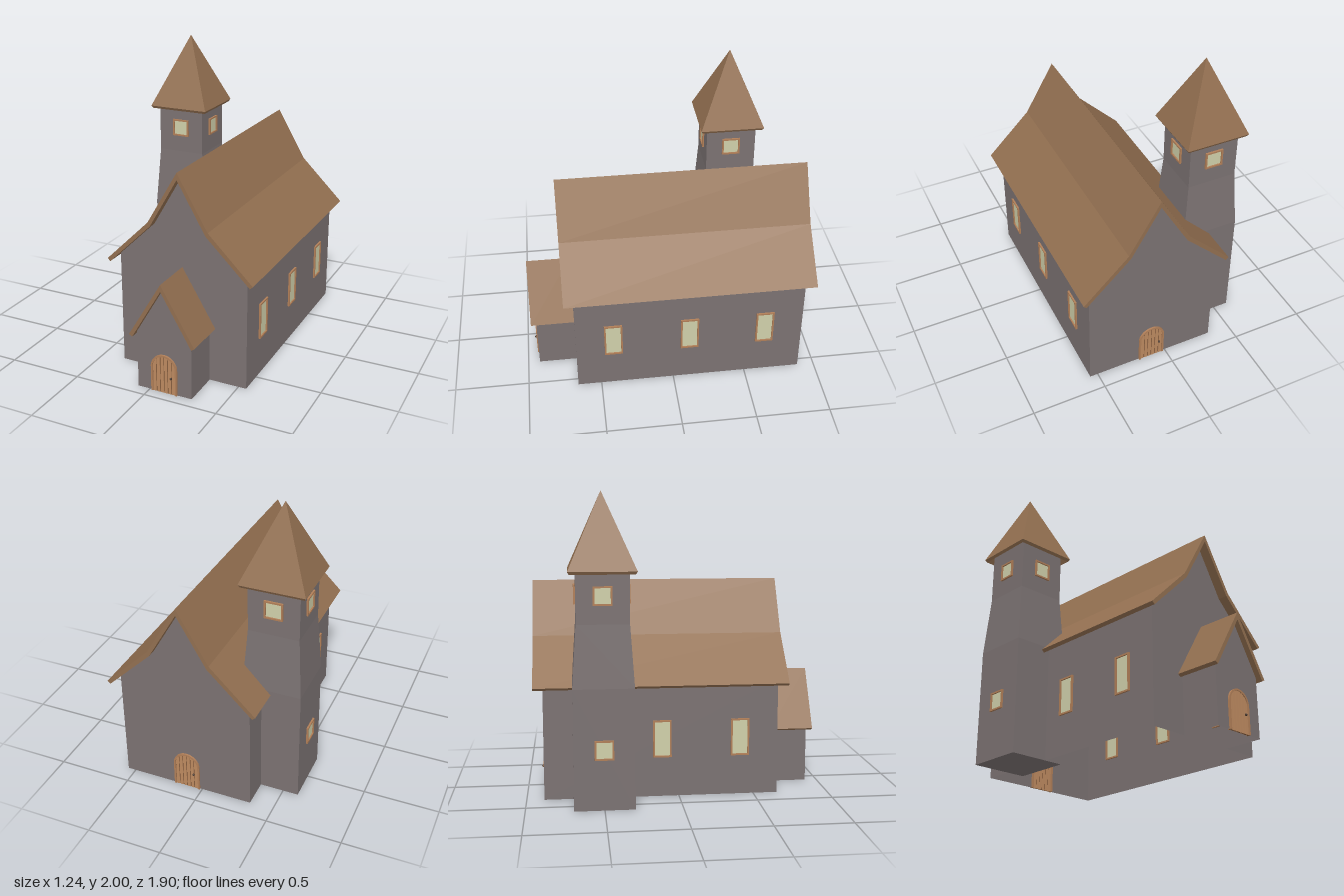
import * as THREE from 'three';

const mat = (name, color, side = THREE.FrontSide) => {
  const m = new THREE.MeshStandardMaterial({ color, side });
  m.name = name;
  return m;
};

export function createModel() {
  const wall = mat('grey plaster', 0x7b7272, THREE.DoubleSide);
  const roof = mat('brown shingle', 0x926f50);
  const trim = mat('trim wood', 0xb17f58);
  const plank = mat('door wood', 0xbd8a60);
  const gap = mat('dark gap', 0x6a462d);
  const glass = mat('pale glass', 0xd0d0aa);
  const iron = mat('dark iron', 0x4a3a30);

  const model = new THREE.Group();
  model.name = 'church';
  const CX = 0.106; // centre line of nave and porch

  const add = (parent, name, geo, material, x = 0, y = 0, z = 0) => {
    const m = new THREE.Mesh(geo, material);
    m.name = name;
    m.position.set(x, y, z);
    parent.add(m);
    return m;
  };
  const shapeOf = pts => new THREE.Shape(pts.map(p => new THREE.Vector2(p[0], p[1])));
  const mirror = pts => pts.map(([x, y]) => [-x, y]).reverse();
  const extrude = (shape, depth) =>
    new THREE.ExtrudeGeometry(shape, { depth, bevelEnabled: false, curveSegments: 20 });

  // Roof slab: right-hand outer and inner lines, ridge to eave, mirrored and extruded along z
  const roofSlab = (name, outer, inner, z0, z1) => {
    const pts = [
      ...outer.slice().reverse(), ...mirror(outer).reverse().slice(1),
      ...mirror(inner), ...inner.slice(1),
    ];
    add(model, name, extrude(shapeOf(pts), z1 - z0), roof, CX, 0, z0);
  };
  roofSlab('naveRoof',
    [[0, 1.405], [0.208, 1.05], [0.51, 0.752]],
    [[0, 1.358], [0.193, 1.025], [0.49, 0.735]], -0.948, 0.724);
  roofSlab('porchRoof',
    [[0, 0.762], [0.229, 0.378]],
    [[0, 0.715], [0.207, 0.364]], 0.66, 0.955);

  // Thin walls, open below
  const naveHalf = [[0.448, 0], [0.448, 0.777], [0.193, 1.025]];
  const porchHalf = [[0.19, 0], [0.19, 0.393]];
  const naveOutline = [...naveHalf, [0, 1.358], ...mirror(naveHalf)];
  const porchOutline = [...porchHalf, [0, 0.715], ...mirror(porchHalf)];
  const sideWalls = (name, half, height, z0, z1) => {
    for (const s of [-1, 1]) {
      const g = new THREE.PlaneGeometry(z1 - z0, height);
      g.rotateY(s * Math.PI / 2);
      add(model, name, g, wall, CX + s * half, height / 2, (z0 + z1) / 2);
    }
  };
  const backGable = new THREE.ShapeGeometry(shapeOf(naveOutline));
  backGable.rotateY(Math.PI);
  add(model, 'naveBackWall', backGable, wall, CX, 0, -0.885);
  // the front wall opens into the porch
  add(model, 'naveFrontWall',
    new THREE.ShapeGeometry(shapeOf([...naveOutline, ...porchOutline.slice().reverse()])),
    wall, CX, 0, 0.66);
  sideWalls('naveSideWall', 0.448, 0.777, -0.885, 0.66);
  add(model, 'porchFrontWall', new THREE.ShapeGeometry(shapeOf(porchOutline)), wall, CX, 0, 0.92);
  sideWalls('porchSideWall', 0.19, 0.393, 0.66, 0.92);

  // Square tower and its pyramid roof: four-sided lathes with flat faces
  const TX = -0.408, TZ = -0.5;
  const square = pts => {
    const g = new THREE.LatheGeometry(
      pts.map(([r, y]) => new THREE.Vector2(r * Math.SQRT2, y)), 4, Math.PI / 4).toNonIndexed();
    g.computeVertexNormals();
    return g;
  };
  add(model, 'tower',
    square([[0, 0], [0.195, 0], [0.195, 0.78], [0.168, 1.18], [0.168, 1.57]]), wall, TX, 0, TZ);
  add(model, 'towerRoof',
    square([[0, 1.955], [0.204, 1.49], [0.215, 1.508], [0, 2]]), roof, TX, 0, TZ);

  // Framed window set into a wall, facing +z before turning
  const addWindow = (name, w, h, x, y, z, turn) => {
    const g = new THREE.Group();
    g.name = name;
    const t = 0.011, a = w / 2, b = h / 2;
    const rect = (p, q) => [[p, -q], [p, q], [-p, q], [-p, -q]];
    const s = shapeOf(rect(a, b));
    s.holes.push(shapeOf(rect(a - t, b - t)));
    add(g, 'windowFrame', extrude(s, 0.024), trim, 0, 0, -0.012);
    add(g, 'windowPane', new THREE.BoxGeometry(w - 2 * t, h - 2 * t, 0.006), glass);
    g.position.set(x, y, z);
    g.rotation.y = turn;
    model.add(g);
  };
  for (const z of [0.407, -0.11, -0.625]) {
    addWindow('naveWindow', 0.122, 0.248, CX + 0.448, 0.389, z, Math.PI / 2);
    if (z > -0.5) addWindow('naveWindow', 0.122, 0.248, CX - 0.448, 0.389, z, -Math.PI / 2);
  }
  for (let i = 0; i < 4; i++) {
    const a = i * Math.PI / 2;
    addWindow('belfryWindow', 0.122, 0.12,
      TX + Math.sin(a) * 0.168, 1.357, TZ + Math.cos(a) * 0.168, a);
  }
  addWindow('towerLowWindow', 0.122, 0.126, TX - 0.195, 0.39, TZ, -Math.PI / 2);

  // Arched plank door with frame and knob
  const addDoor = (name, z, turn) => {
    const g = new THREE.Group();
    g.name = name;
    const R = 0.091, r = 0.079, yc = 0.176;
    const frame = new THREE.Shape();
    frame.moveTo(r, 0);
    frame.lineTo(R, 0);
    frame.lineTo(R, yc);
    frame.absarc(0, yc, R, 0, Math.PI, false);
    frame.lineTo(-R, 0);
    frame.lineTo(-r, 0);
    frame.lineTo(-r, yc);
    frame.absarc(0, yc, r, Math.PI, 0, true);
    frame.lineTo(r, 0);
    add(g, 'doorFrame', extrude(frame, 0.024), trim, 0, 0, -0.012);
    const board = new THREE.Shape();
    board.moveTo(-r, 0);
    board.lineTo(r, 0);
    board.lineTo(r, yc);
    board.absarc(0, yc, r, 0, Math.PI, false);
    add(g, 'doorBoard', extrude(board, 0.006), gap, 0, 0, -0.003);
    const n = 6, step = 2 * r / n;
    for (let i = 0; i < n; i++) {
      const x0 = -r + i * step + 0.0025, x1 = x0 + step - 0.005;
      const pts = [[x0, 0], [x1, 0]];
      for (let k = 4; k >= 0; k--) {
        const x = x0 + (x1 - x0) * k / 4;
        pts.push([x, yc + Math.sqrt(r * r - x * x)]);
      }
      add(g, 'doorPlank', extrude(shapeOf(pts), 0.014), plank, 0, 0, -0.007);
    }
    add(g, 'doorKnob', new THREE.SphereGeometry(0.008, 12, 8), iron, 0.053, 0.118, 0.016);
    g.position.set(CX, 0, z);
    g.rotation.y = turn;
    model.add(g);
  };
  addDoor('frontDoor', 0.92, 0);
  addDoor('backDoor', -0.885, Math.PI);

  return model;
}
